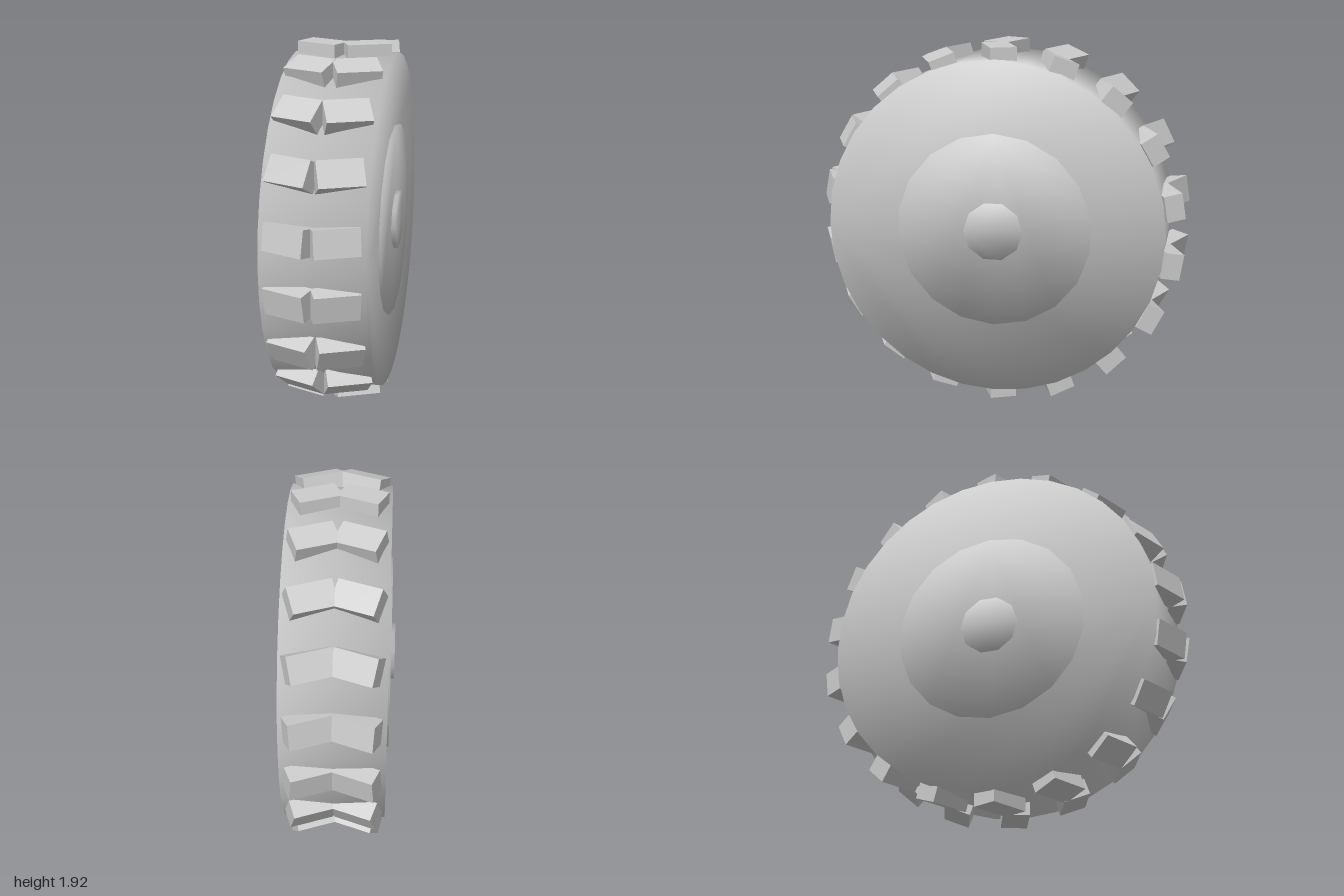
import * as THREE from 'three';

const CENTRE_Y = 0.96;

// Solid disc along x with softly blended rim normals; the first vertex lies at angle `start` from +z.
function discGeometry(radius, halfWidth, sides, start = 0) {
  const positions = [], normals = [], index = [];
  for (const side of [-1, 1]) {
    for (let i = 0; i < sides; i++) {
      const a = start + (i / sides) * Math.PI * 2;
      const y = Math.sin(a), z = Math.cos(a);
      positions.push(side * halfWidth, y * radius, z * radius);
      normals.push(side * Math.SQRT1_2, y * Math.SQRT1_2, z * Math.SQRT1_2);
    }
  }
  for (let i = 0; i < sides; i++) {
    const j = (i + 1) % sides;
    // Rim
    index.push(i, i + sides, j, j, i + sides, j + sides);
    // Side faces as fans
    if (i > 0 && j > 0) index.push(0, i, j, sides, sides + j, sides + i);
  }
  const geometry = new THREE.BufferGeometry();
  geometry.setAttribute('position', new THREE.Float32BufferAttribute(positions, 3));
  geometry.setAttribute('normal', new THREE.Float32BufferAttribute(normals, 3));
  geometry.setIndex(index);
  return geometry;
}

export function createModel() {
  const model = new THREE.Group();
  model.name = 'treadedWheel';

  const grey = new THREE.MeshStandardMaterial({ color: 0xcccccc });
  grey.name = 'grey';

  const wheel = new THREE.Group();
  wheel.name = 'wheel';
  wheel.position.y = CENTRE_Y;
  model.add(wheel);

  const add = (name, geometry, parent = wheel) => {
    const mesh = new THREE.Mesh(geometry, grey);
    mesh.name = name;
    parent.add(mesh);
    return mesh;
  };

  // Tire, hub plate and axle cap
  add('tire', discGeometry(0.9, 0.266, 32));
  add('hub', discGeometry(0.52, 0.277, 18, Math.PI / 2));
  add('axle', discGeometry(0.157, 0.298, 10));

  // Tread: pairs of blocks around the tire, each yawed about the vertical axis
  const treads = new THREE.Group();
  treads.name = 'treads';
  wheel.add(treads);
  const block = new THREE.BoxGeometry(0.233, 0.1, 0.14);
  const count = 18, radius = 0.91, yaw = THREE.MathUtils.degToRad(23);
  for (let i = 0; i < count; i++) {
    const a = (i / count) * Math.PI * 2;
    for (const side of [-1, 1]) {
      const lug = add(side > 0 ? 'leftTreadBlock' : 'rightTreadBlock', block, treads);
      lug.position.set(side * 0.115, radius * Math.cos(a), radius * Math.sin(a));
      lug.rotation.set(a, side * yaw, 0, 'YXZ');
    }
  }
  return model;
}
